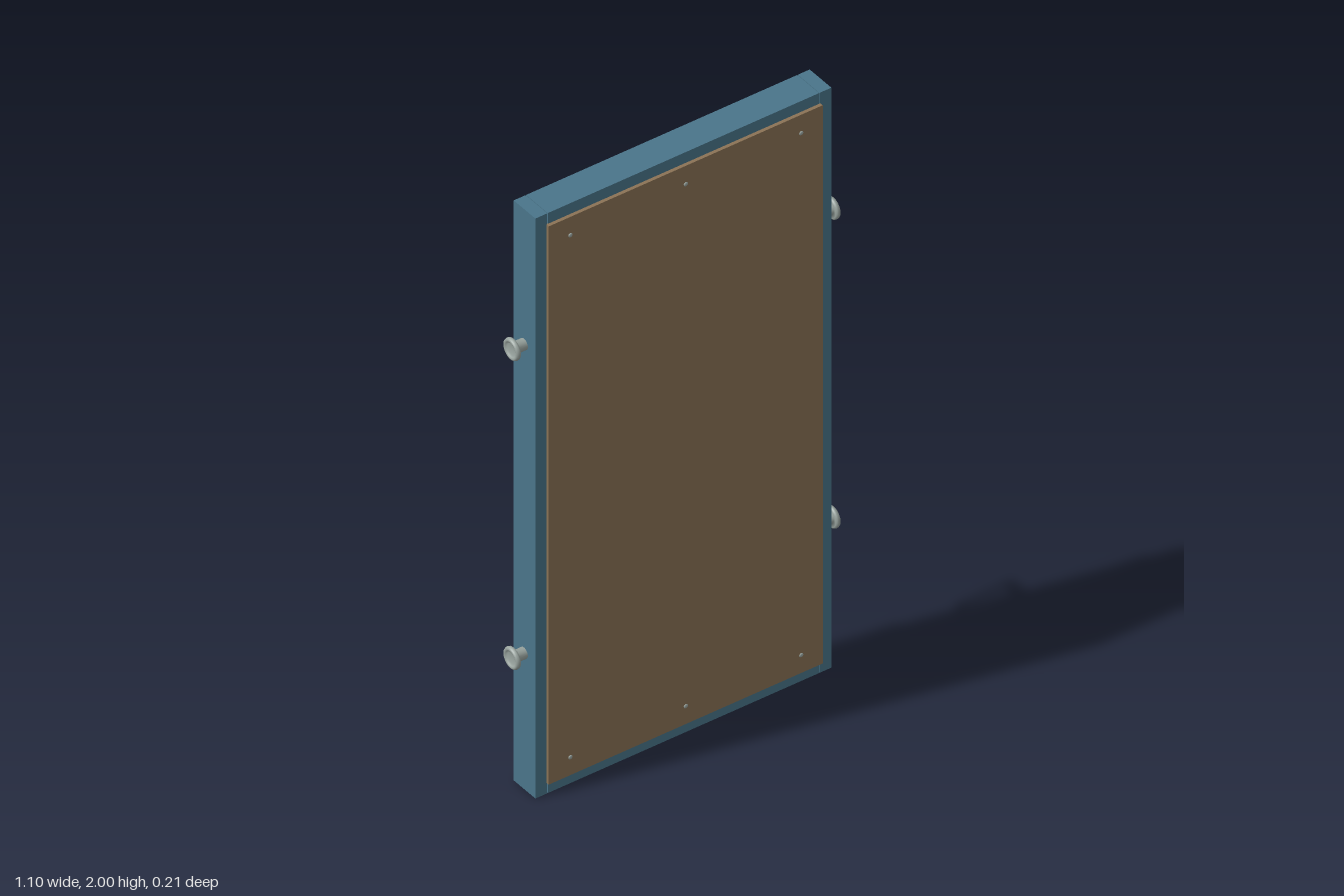
import * as THREE from 'three';

const blue = new THREE.MeshStandardMaterial({ color: 0x4a758a });
const brown = new THREE.MeshStandardMaterial({ color: 0x8b7355 });
const steel = new THREE.MeshStandardMaterial({ color: 0x9aa5a0 });

export function createModel() {
  const root = new THREE.Group();

  const add = (name, geometry, material, x = 0, y = 0, z = 0) => {
    const mesh = new THREE.Mesh(geometry, material);
    mesh.name = name;
    mesh.position.set(x, y, z);
    root.add(mesh);
    return mesh;
  };
  // Box given by its extents on each axis
  const box = (name, material, [x0, x1], [y0, y1], [z0, z1]) =>
    add(name, new THREE.BoxGeometry(x1 - x0, y1 - y0, z1 - z0), material,
      (x0 + x1) / 2, (y0 + y1) / 2, (z0 + z1) / 2);

  const frameZ = [-0.013, 0.088];
  const barBack = -0.028, barFront = 0.018;

  // Outer frame and front panel
  for (const s of [-1, 1]) box('sideRail', blue, [s * 0.48 - 0.02, s * 0.48 + 0.02], [0, 2], frameZ);
  box('bottomRail', blue, [-0.458, 0.458], [0, 0.04], frameZ);
  box('topRail', blue, [-0.458, 0.458], [1.96, 2], frameZ);
  box('frontPanel', brown, [-0.463, 0.463], [0.038, 1.963], [0.085, 0.099]);

  // Small screws on the panel
  const screw = new THREE.SphereGeometry(0.007, 12, 6, 0, Math.PI * 2, 0, Math.PI / 2);
  screw.scale(1, 0.5, 1).rotateX(Math.PI / 2);
  for (const x of [-0.39, 0, 0.39])
    for (const y of [0.1, 1.9]) add('panelScrew', screw, steel, x, y, 0.099);

  // Cross bars at the back, each with a bolt near both ends
  const bolt = new THREE.LatheGeometry(
    [[0.011, 0], [0.011, 0.003], [0.008, 0.008], [0.004, 0.011], [0, 0.012]]
      .map(([r, h]) => new THREE.Vector2(r, h)), 14);
  bolt.rotateX(-Math.PI / 2);
  for (const y of [0.335, 0.78, 1.225, 1.67]) {
    box('crossBar', blue, [-0.46, 0.46], [y - 0.032, y + 0.032], [barBack, barFront]);
    for (const s of [-1, 1]) add('barBolt', bolt, blue, s * 0.4, y, barBack);
  }

  // Handle outline: a bracket with legs that widen toward the feet
  const outline = new THREE.Shape([
    [-0.098, 0], [-0.092, 0.074], [-0.088, 0.079], [0.088, 0.079], [0.092, 0.074], [0.098, 0],
    [0.074, 0], [0.077, 0.064], [-0.077, 0.064], [-0.074, 0],
  ].map(([x, h]) => new THREE.Vector2(x, h)));
  const bracket = new THREE.ExtrudeGeometry(outline, {
    depth: 0.018, bevelThickness: 0.004, bevelSize: 0.003, bevelOffset: -0.003, bevelSegments: 2,
  });
  bracket.translate(0, 0, -0.009).rotateX(-Math.PI / 2);

  // Upright studs, with a handle block and handle on each
  for (const s of [-1, 1]) {
    const cx = s * 0.225;
    box('stud', blue, [cx - 0.023, cx + 0.023], [0.04, 1.96], [barFront, 0.086]);
    box('handleBlock', blue, [cx - 0.12, cx + 0.12], [0.95, 1.01], [barBack, 0.086]);
    add('handle', bracket, steel, cx, 0.982, barBack);
    for (const t of [-1, 1]) {
      const fx = cx + t * 0.084;
      box('handleFoot', steel, [fx - 0.018, fx + 0.018], [0.96, 1.004], [barBack, barBack - 0.005].reverse());
    }
  }

  // Side knobs: a shaft with a rounded, dished flange
  const knob = new THREE.LatheGeometry(
    [[0.018, -0.005], [0.018, 0.032], [0.029, 0.032], [0.034, 0.035], [0.035, 0.04], [0.033, 0.046],
      [0.028, 0.048], [0.023, 0.046], [0.019, 0.041], [0, 0.041]]
      .map(([r, h]) => new THREE.Vector2(r, h)), 28);
  for (const s of [-1, 1])
    for (const y of [0.47, 1.535])
      add('sideKnob', knob, steel, s * 0.5, y, 0.035).rotation.z = -s * Math.PI / 2;

  return root;
}
